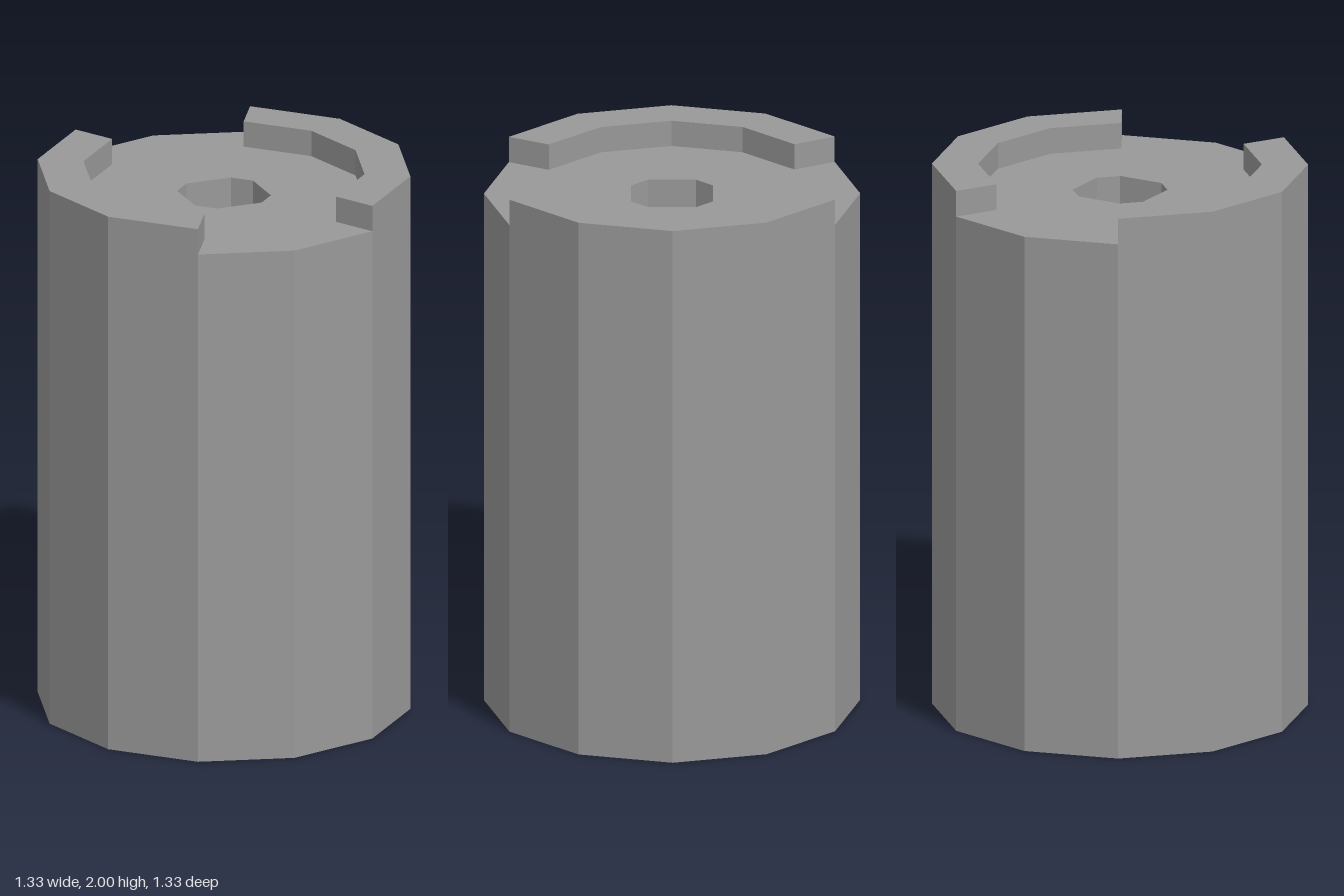
import * as THREE from 'three';

const RADIUS = 0.667, INNER = 0.503, DECK = 1.905, TOP = 2, SOCKET_FLOOR = 1.4;

// Points on a 12-sided ring, from step a to step b (30 degrees each)
function ring(radius, a, b) {
  const points = [];
  const dir = Math.sign(b - a);
  for (let i = a; i !== b + dir; i += dir) {
    const t = (i * Math.PI) / 6;
    points.push(new THREE.Vector2(radius * Math.cos(t), radius * Math.sin(t)));
  }
  return points;
}

// Upright prism of a plan shape between two heights
function prism(name, shape, y0, y1, material) {
  const geometry = new THREE.ExtrudeGeometry(shape, { depth: y1 - y0, bevelEnabled: false });
  geometry.rotateX(-Math.PI / 2).translate(0, y0, 0);
  const mesh = new THREE.Mesh(geometry, material);
  mesh.name = name;
  return mesh;
}

export function createModel() {
  const group = new THREE.Group();
  group.name = 'slottedCylinder';
  const grey = new THREE.MeshStandardMaterial({ color: 0x999999, flatShading: true });
  grey.name = 'grey';

  // Solid lower body
  group.add(prism('lowerBody', new THREE.Shape(ring(RADIUS, 0, 11)), 0, SOCKET_FLOOR, grey));

  // Upper body with the chamfered square socket
  const upper = new THREE.Shape(ring(RADIUS, 0, 11));
  const s = 0.145, c = 0.085;
  const socket = [[s, c], [s, -c], [c, -s], [-c, -s], [-s, -c], [-s, c], [-c, s], [c, s]];
  upper.holes.push(new THREE.Path(socket.map(([x, y]) => new THREE.Vector2(x, y))));
  group.add(prism('socketBody', upper, SOCKET_FLOOR, DECK, grey));

  // Two raised rim arcs, leaving a gap at the front and back
  for (const [name, mid] of [['leftRim', 0], ['rightRim', 6]]) {
    const arc = new THREE.Shape([...ring(RADIUS, mid - 2, mid + 2), ...ring(INNER, mid + 2, mid - 2)]);
    group.add(prism(name, arc, DECK, TOP, grey));
  }
  return group;
}
